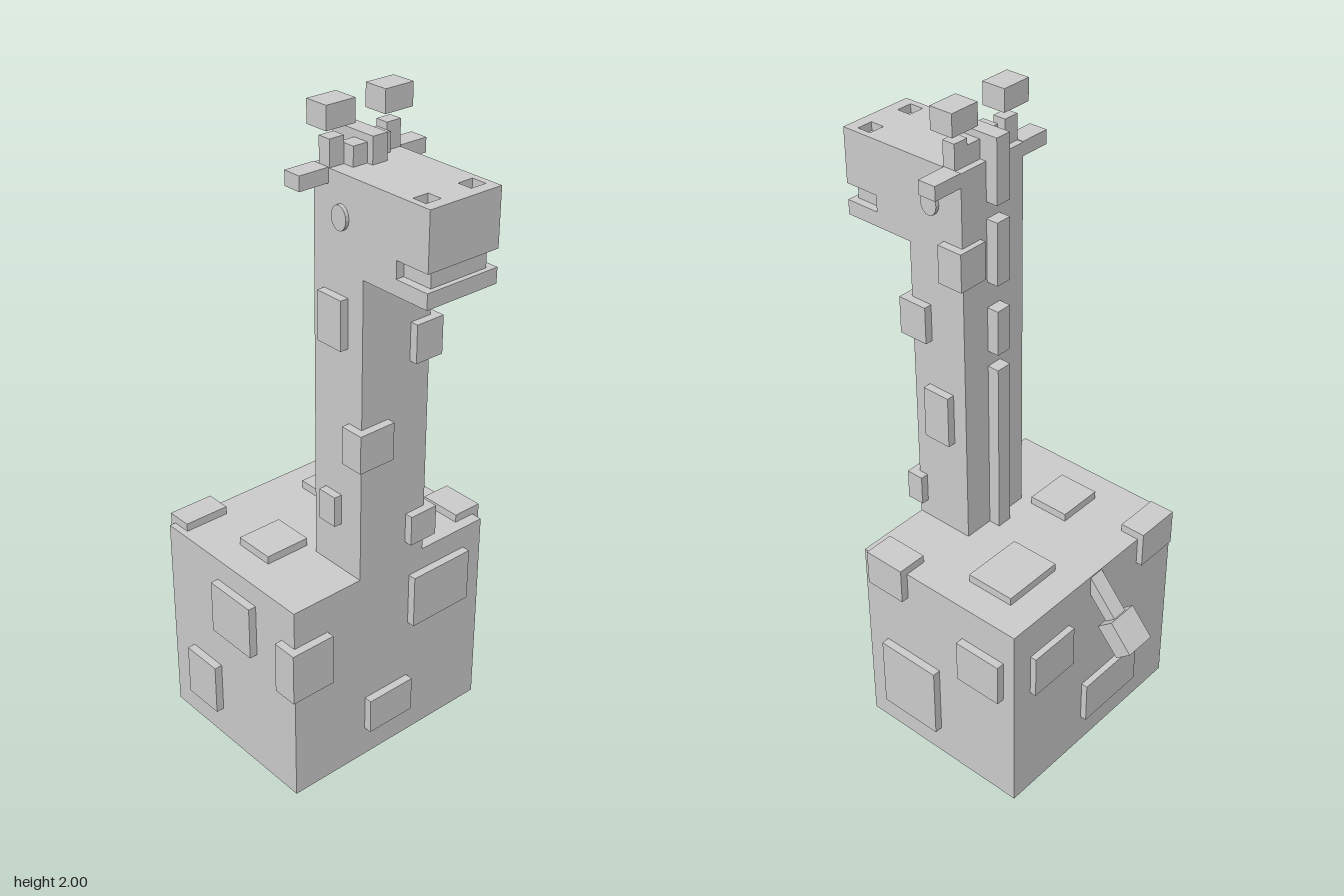
import * as THREE from 'three';

export function createModel() {
  const model = new THREE.Group();
  const mat = new THREE.MeshStandardMaterial({ color: 0xcccccc, flatShading: true });

  function add(name, geometry) {
    const mesh = new THREE.Mesh(geometry, mat);
    mesh.name = name;
    model.add(mesh);
    return mesh;
  }
  // Box given by its ranges on x, y and z
  function block(name, [x0, x1], [y0, y1], [z0, z1]) {
    const mesh = add(name, new THREE.BoxGeometry(x1 - x0, y1 - y0, z1 - z0));
    mesh.position.set((x0 + x1) / 2, (y0 + y1) / 2, (z0 + z1) / 2);
    return mesh;
  }

  // Body and neck
  block('body', [-0.36, 0.36], [0, 0.65], [-0.32, 0.255]);
  block('neck', [-0.12, 0.12], [0.65, 1.57], [0.065, 0.255]);

  // Head, with a groove for the mouth
  block('jaw', [-0.12, 0.12], [1.57, 1.615], [0.065, 0.485]);
  block('cheeks', [-0.12, 0.12], [1.615, 1.665], [0.065, 0.375]);
  block('mouth', [-0.095, 0.095], [1.615, 1.665], [0.375, 0.47]);
  block('upperHead', [-0.12, 0.12], [1.665, 1.805], [0.065, 0.485]);

  // Top of the head, pierced by two nostrils
  const rect = (path, x0, x1, z0, z1) =>
    path.moveTo(x0, -z1).lineTo(x1, -z1).lineTo(x1, -z0).lineTo(x0, -z0).closePath();
  const plate = new THREE.Shape();
  rect(plate, -0.12, 0.12, 0.065, 0.485);
  for (const x of [-0.1, 0.05]) {
    const hole = new THREE.Path();
    rect(hole, x, x + 0.05, 0.405, 0.45);
    plate.holes.push(hole);
  }
  const top = new THREE.ExtrudeGeometry(plate, { depth: 0.025, bevelEnabled: false });
  add('headTop', top.rotateX(-Math.PI / 2)).position.y = 1.805;

  // Eyes, ears and horns on both sides
  for (const s of [-1, 1]) {
    const span = (a, b) => (s > 0 ? [a, b] : [-b, -a]);
    const eye = add('eye', new THREE.CylinderGeometry(0.028, 0.028, 0.02, 16).rotateZ(Math.PI / 2));
    eye.scale.y = 1.25;
    eye.position.set(s * 0.121, 1.715, 0.172);
    block('ear', span(0.12, 0.215), [1.79, 1.832], [0.065, 0.122]);
    block('hornStalk', span(0.072, 0.12), [1.83, 1.905], [0.085, 0.125]);
    block('hornKnob', span(0.05, 0.145), [1.935, 2], [0.068, 0.142]);
  }

  // Forelock and mane
  block('forelock', [-0.025, 0.025], [1.83, 1.905], [0.07, 0.18]);
  block('tuft', [-0.072, -0.025], [1.83, 1.885], [0.11, 0.16]);
  block('tuft', [0.025, 0.072], [1.83, 1.885], [0.085, 0.14]);
  for (const y of [[0.65, 1.205], [1.255, 1.395], [1.475, 1.665], [1.715, 1.905]])
    block('mane', [-0.025, 0.025], y, [0.028, 0.07]);

  // Spots standing proud of the neck
  const neckSpots = [
    [[-0.145, -0.025], [1.02, 1.135], [0.205, 0.28]],
    [[0.05, 0.145], [1.285, 1.4], [0.185, 0.28]],
    [[0.05, 0.145], [0.705, 0.8], [0.225, 0.28]],
    [[0.1, 0.145], [0.97, 1.135], [0.11, 0.2]],
    [[0.05, 0.145], [1.5, 1.615], [0.048, 0.13]],
    [[-0.145, -0.1], [1.355, 1.5], [0.105, 0.198]],
    [[-0.145, -0.1], [0.8, 0.895], [0.11, 0.175]],
  ];
  for (const s of neckSpots) block('neckSpot', ...s);

  // Spots standing proud of the body: front, sides, top, back
  const bodySpots = [
    [[-0.385, -0.24], [0.365, 0.53], [0.2, 0.28]],
    [[0.07, 0.29], [0.41, 0.58], [0.24, 0.28]],
    [[-0.095, 0.07], [0.1, 0.215], [0.24, 0.28]],
    [[0.29, 0.385], [0.56, 0.675], [0.085, 0.22]],
    [[0.34, 0.385], [0.39, 0.53], [-0.28, -0.125]],
    [[0.34, 0.385], [0.1, 0.34], [-0.03, 0.18]],
    [[-0.385, -0.34], [0.41, 0.58], [-0.09, 0.085]],
    [[-0.385, -0.34], [0.1, 0.265], [-0.225, -0.09]],
    [[0.07, 0.265], [0.63, 0.675], [-0.225, -0.07]],
    [[-0.265, -0.12], [0.63, 0.675], [-0.105, 0.025]],
    [[-0.34, -0.195], [0.56, 0.675], [-0.34, -0.26]],
    [[0.12, 0.29], [0.39, 0.53], [-0.34, -0.3]],
    [[-0.19, 0.05], [0.1, 0.24], [-0.34, -0.3]],
  ];
  for (const s of bodySpots) block('bodySpot', ...s);

  // Tail slanting down and back, with a thicker tip
  const tail = new THREE.Group();
  tail.name = 'tail';
  tail.position.set(0, 0.627, -0.31);
  tail.rotation.x = 0.71;
  const stalk = block('tailStalk', [-0.025, 0.025], [-0.14, 0.012], [-0.02, 0.02]);
  const tip = block('tailTip', [-0.05, 0.05], [-0.238, -0.13], [-0.031, 0.031]);
  tail.add(stalk, tip);
  model.add(tail);

  return model;
}
